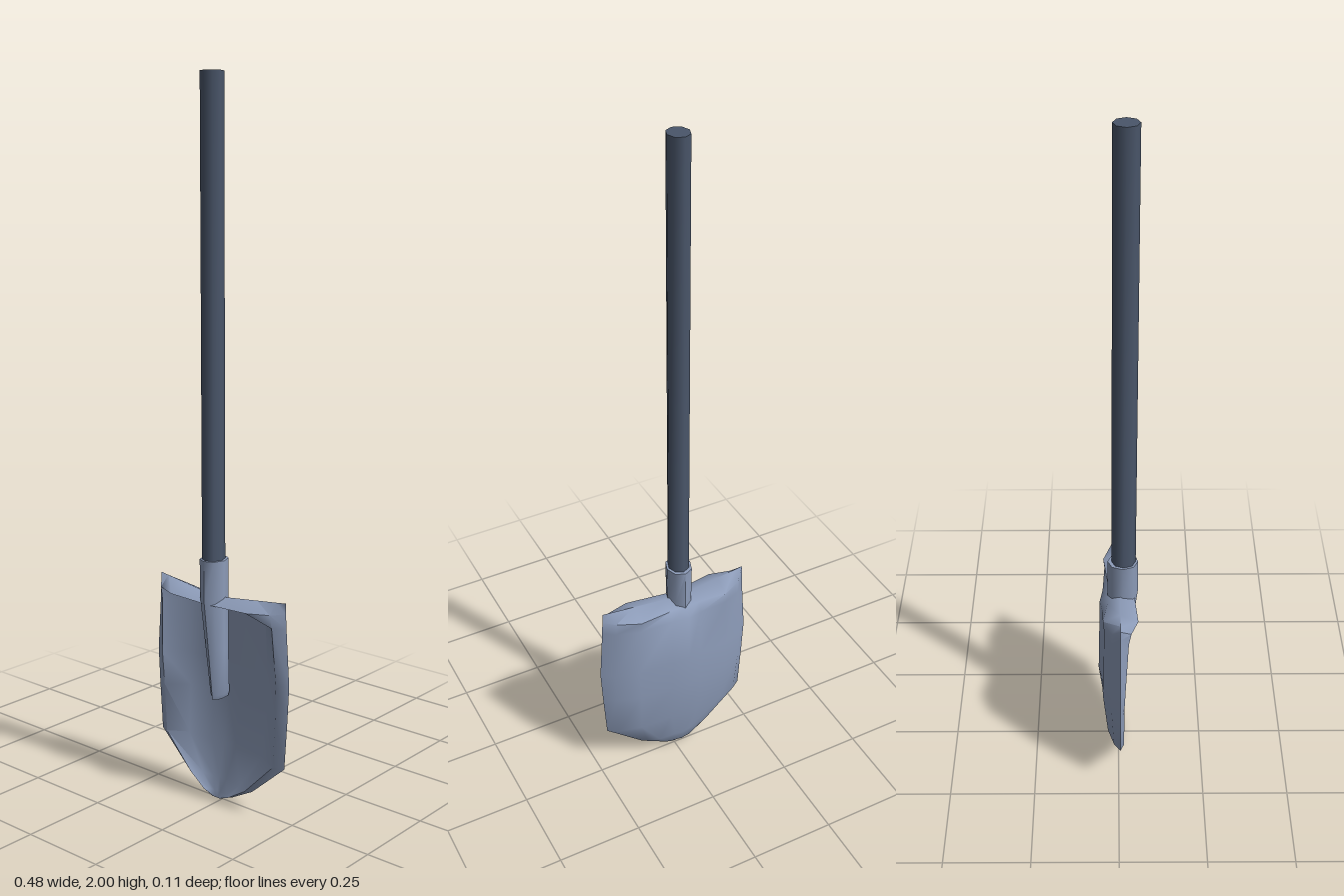
import * as THREE from 'three';
import { toCreasedNormals } from 'three/addons/utils/BufferGeometryUtils.js';

const AXIS_X = -0.02; // handle line sits slightly off centre
const EDGE_Z = 0.005; // plane of the blade's outline

// Octagonal tube through rings of [y, centre z, radius x, radius z], top to bottom
function ringTube(rings) {
  const n = rings.length - 1;
  const geo = new THREE.CylinderGeometry(1, 1, 1, 8, n);
  const p = geo.attributes.position;
  for (let i = 0; i < p.count; i++) {
    const [y, z, rx, rz] = rings[Math.round((0.5 - p.getY(i)) * n)];
    p.setXYZ(i, AXIS_X + p.getX(i) * rx, y, z + p.getZ(i) * rz);
  }
  return toCreasedNormals(geo, 0.9);
}

// Blade columns across the width, and the dish depth at each distance from the middle
const columns = [-1, -0.87, -0.6, -0.2, 0, 0.2, 0.6, 0.87, 1];
const dish = { 0: 1, 0.2: 0.86, 0.6: 0.78, 0.87: 0.4, 1: 0 };
const topDish = { 0: 0.58, 0.2: 0.63, 0.6: 0.85, 0.87: 0.42, 1: 0 };
const lip = { 0: 0.04, 0.2: 0.043, 0.6: 0.05, 0.87: 0.03, 1: 0 };

// Blade rows: y, rise towards the corners, half width, outline shift, depth, rim z
const rows = [
  { y: 0.6, rise: 0.03, w: 0.225, c: 0, depth: 0, kind: 'crown' },
  { y: 0.585, rise: 0.015, w: 0.226, c: 0, depth: 0.058, kind: 'lip' },
  { y: 0.56, rise: 0, w: 0.228, c: 0, depth: 0.059, rim: 0.028 },
  { y: 0.4, rise: 0, w: 0.239, c: 0, depth: 0.062, rim: 0.02 },
  { y: 0.3, rise: 0, w: 0.234, c: 0, depth: 0.064, rim: 0.016 },
  { y: 0.16, rise: 0, w: 0.225, c: 0, depth: 0.047, rim: 0.016 },
  { y: 0.06, rise: 0, w: 0.115, c: -0.003, depth: 0.028, rim: 0.017 },
  { y: 0.022, rise: 0, w: 0.052, c: -0.01, depth: 0.018, rim: 0.016 },
  { y: 0.003, rise: 0, w: 0.014, c: AXIS_X, depth: 0, kind: 'crown' },
];

function bladeZ(row, u, front) {
  const a = Math.abs(u);
  if (row.kind === 'crown' || a === 1) return EDGE_Z;
  const back = EDGE_Z - row.depth * (row.kind === 'lip' ? topDish : dish)[a];
  if (!front) return back;
  if (row.kind === 'lip') return EDGE_Z + lip[a];
  return a === 0.87 ? row.rim : back + 0.012;
}

// Front and back skins share their outline, so together they close the blade
function bladeGeometry() {
  const pos = [], index = [], n = columns.length;
  for (const front of [true, false]) {
    const base = pos.length / 3;
    rows.forEach((row, i) => columns.forEach((u, j) => {
      const a = Math.abs(u);
      const x = row.w * u + row.c + (AXIS_X - row.c) * (1 - a);
      pos.push(x, row.y + row.rise * a, bladeZ(row, u, front));
      if (i === 0 || j === 0) return;
      const d = base + i * n + j, c = d - 1, b = d - n, e = b - 1;
      if (front) index.push(e, c, d, e, d, b);
      else index.push(e, d, c, e, b, d);
    }));
  }
  const geo = new THREE.BufferGeometry();
  geo.setAttribute('position', new THREE.Float32BufferAttribute(pos, 3));
  geo.setIndex(index);
  return toCreasedNormals(geo, 1.1);
}

export function createModel() {
  const group = new THREE.Group();
  group.name = 'shovel';
  const metal = new THREE.MeshStandardMaterial({ color: 0x8e9dba });
  metal.name = 'blue grey metal';
  const shaft = new THREE.MeshStandardMaterial({ color: 0x4a566a });
  shaft.name = 'dark slate shaft';

  const add = (name, geo, mat) => {
    const mesh = new THREE.Mesh(geo, mat);
    mesh.name = name;
    group.add(mesh);
  };

  // Long straight handle
  add('handle', ringTube([[2, 0.018, 0.03, 0.033], [0.66, 0.014, 0.03, 0.034]]), shaft);

  // Socket gripping the handle, tapering down into the dish
  add('socket', ringTube([
    [0.71, 0.012, 0.037, 0.043],
    [0.6, 0.012, 0.035, 0.043],
    [0.45, 0.0, 0.027, 0.037],
    [0.315, -0.012, 0.02, 0.034],
    [0.3, -0.014, 0.012, 0.033],
  ]), metal);

  // Dished blade with a folded tread along the top
  add('blade', bladeGeometry(), metal);
  return group;
}
